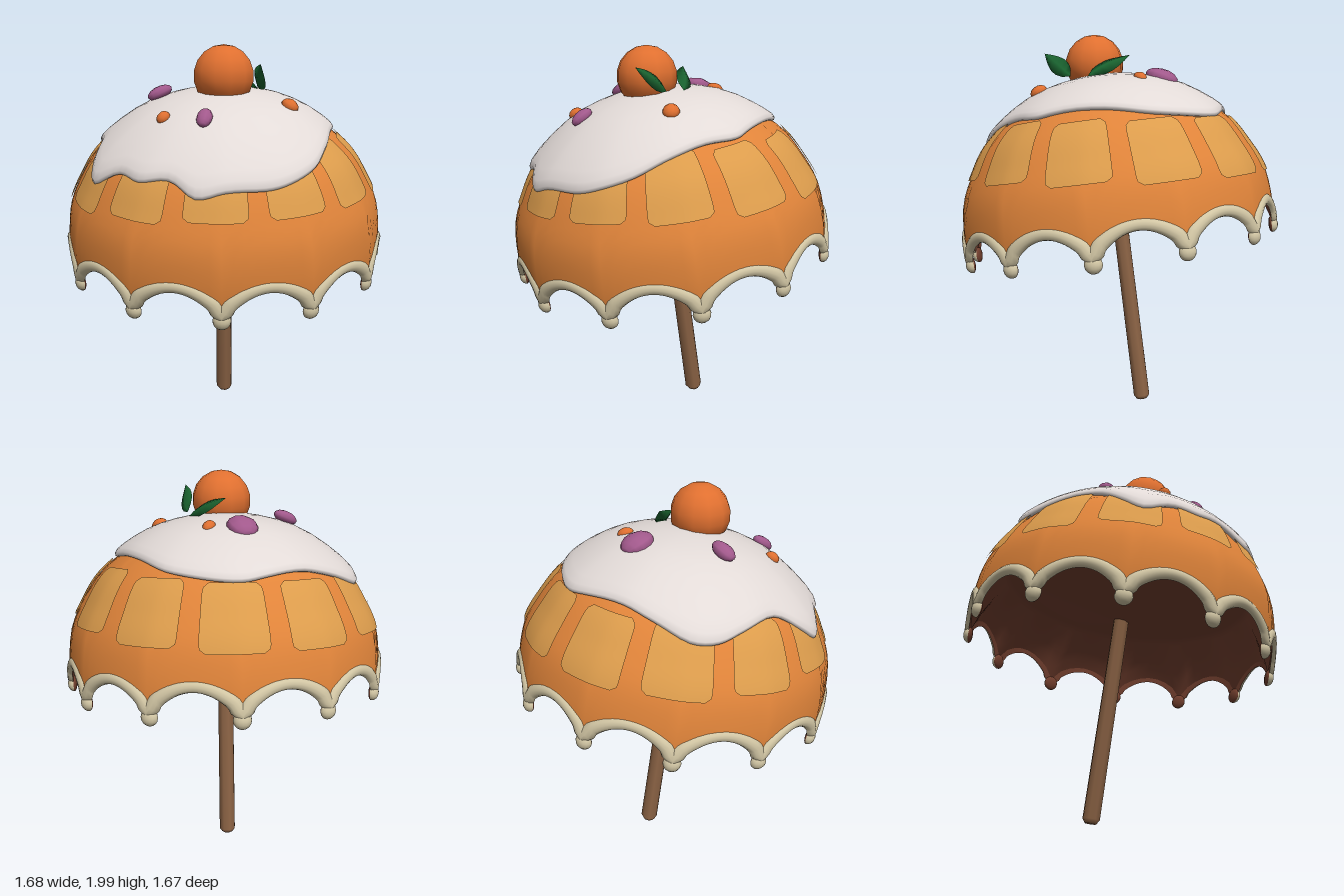
import * as THREE from 'three';

const mat = (name, color, side = THREE.FrontSide) => {
  const m = new THREE.MeshStandardMaterial({ color, side });
  m.name = name;
  return m;
};

// Surface from a rule f(u, v); u can wrap around
function grid(nu, nv, closed, f) {
  const pos = [], idx = [], cols = closed ? nu : nu + 1;
  for (let j = 0; j <= nv; j++)
    for (let i = 0; i < cols; i++) pos.push(...f(i / nu, j / nv, j).toArray());
  for (let j = 0; j < nv; j++)
    for (let i = 0; i < nu; i++) {
      const k = (i + 1) % cols, a = j * cols + i, b = j * cols + k;
      idx.push(a, b, b + cols, a, b + cols, a + cols);
    }
  const g = new THREE.BufferGeometry();
  g.setAttribute('position', new THREE.Float32BufferAttribute(pos, 3));
  g.setIndex(idx);
  g.computeVertexNormals();
  return g;
}

export function createModel() {
  const root = new THREE.Group();
  root.name = 'cakeParasol';
  const cake = mat('cakeOrange', 0xe0843a), patchMat = mat('paleSponge', 0xdc9c4c);
  const cream = mat('creamTrim', 0xd3c7a5), icingMat = mat('icing', 0xe2dad7);
  const brown = mat('liningBrown', 0x74402f, THREE.DoubleSide), wood = mat('wood', 0x8a6244);
  const fruit = mat('fruitOrange', 0xe07030), green = mat('leafGreen', 0x1a6430, THREE.DoubleSide);
  const pink = mat('berryPink', 0xa2598c);

  const add = (parent, name, geo, material) => {
    const m = new THREE.Mesh(geo, material);
    m.name = name;
    parent.add(m);
    return m;
  };

  // Tilted canopy frame, its y axis along the handle
  const tilt = new THREE.Group();
  tilt.name = 'parasol';
  tilt.position.set(0.006, 0.87, -0.025);
  tilt.quaternion.setFromUnitVectors(new THREE.Vector3(0, 1, 0), new THREE.Vector3(-0.045, 1, 0.155).normalize());
  root.add(tilt);
  const inverse = tilt.quaternion.clone().invert();
  const toLocal = (x, y, z) => new THREE.Vector3(x, y, z).sub(tilt.position).applyQuaternion(inverse);

  // Dome profile (radius, height)
  const profile = new THREE.SplineCurve([
    [0.83, 0], [0.836, 0.1], [0.836, 0.2], [0.815, 0.34], [0.756, 0.47], [0.65, 0.63],
    [0.45, 0.785], [0.27, 0.862], [0.1, 0.895], [0, 0.9],
  ].map(p => new THREE.Vector2(...p)));
  const find = (test, lo = 0) => {
    let hi = 1;
    for (let i = 0; i < 24; i++) {
      const m = (lo + hi) / 2;
      if (test(profile.getPoint(m))) lo = m; else hi = m;
    }
    return lo;
  };
  const atHeight = y => find(p => p.y < y);
  const atRadius = r => find(p => p.x > r, 0.25);

  // Twelve scallops with tips at 15, 45, 75... degrees
  const TAU = Math.PI * 2, RIBS = 12;
  const arch = az => Math.abs(Math.sin((az / TAU * RIBS - 0.5) * Math.PI));
  const rimY = az => 0.055 + 0.125 * Math.pow(arch(az), 0.65);
  const domePoint = (az, u, lift = 0) => {
    const p = profile.getPoint(u), t = profile.getTangent(u);
    const r = (p.x + t.y * lift) * (1 - 0.014 * arch(az) * (1 - u));
    return new THREE.Vector3(r * Math.sin(az), p.y - t.x * lift, r * Math.cos(az));
  };
  const rimPoint = az => domePoint(az, atHeight(rimY(az)));

  add(tilt, 'spongeCanopy', grid(96, 18, true, (u, v) => {
    const az = u * TAU, start = atHeight(rimY(az));
    return domePoint(az, start + (1 - start) * v);
  }), cake);

  // Lining: a wall inside the rim, then a ceiling drawn down to the handle
  add(tilt, 'lining', grid(96, 12, true, (u, v) => {
    const p = rimPoint(u * TAU), inner = Math.min(1, 2 * v), s = Math.min(1, 2 - 2 * v);
    const r = 0.985 * inner * (1 - 0.2 * s);
    const y = v < 0.5 ? 0.22 + 0.18 * inner : p.y + (0.4 - p.y) * s ** 0.8;
    return new THREE.Vector3(p.x * r, y, p.z * r);
  }), brown);

  // Scalloped trim: rounded cream face outside, brown backing inside
  const rim = [];
  for (let i = 0; i < 144; i++) rim.push(rimPoint((i + 6) / 144 * TAU));
  const rimCurve = new THREE.CatmullRomCurve3(rim, true);
  const trimPoint = (u, across, depth) => {
    const p = rimCurve.getPoint(u), out = new THREE.Vector3(p.x, 0, p.z).normalize();
    const down = rimCurve.getTangent(u).cross(out).normalize();
    const w = 0.04 - 0.012 * arch(Math.atan2(p.x, p.z));
    return p.addScaledVector(out, depth * w - 0.012).addScaledVector(down, across * w);
  };
  add(tilt, 'scallopTrim', grid(288, 6, true, (u, v) => {
    const a = (v - 0.5) * Math.PI;
    return trimPoint(u, -Math.sin(a), Math.cos(a) * 0.8);
  }), cream);
  add(tilt, 'trimBacking', grid(288, 1, true, (u, v) => trimPoint(u, 2 * v - 1, 0)), brown);
  for (let i = 0; i < RIBS; i++) {
    const az = (i + 0.5) / RIBS * TAU;
    const knob = new THREE.Group();
    knob.name = 'trimKnob';
    knob.position.copy(domePoint(az, atHeight(0.026), -0.012));
    knob.rotation.y = az;
    tilt.add(knob);
    add(knob, 'knobFace', new THREE.SphereGeometry(0.043, 8, 8, 0, Math.PI), cream).scale.z = 0.8;
    add(knob, 'knobBack', new THREE.SphereGeometry(0.043, 8, 8, Math.PI, Math.PI), brown).scale.z = 0.35;
  }

  // Pale rounded panels on the sponge
  for (let i = 0; i < RIBS; i++) {
    const mid = THREE.MathUtils.degToRad(13 + i * 30), c = Math.cos(mid);
    add(tilt, 'palePanel', grid(10, 16, false, (u, v) => {
      const e = Math.abs(2 * v - 1);
      const half = 0.2 * (0.8 + 0.2 * Math.pow(Math.max(0, 1 - e ** 10), 0.5));
      const low = 0.395 + 0.075 * c, high = 0.675 + 0.06 * c;
      return domePoint(mid + (2 * u - 1) * half, atHeight(low + (high - low) * v), 0.008);
    }), patchMat);
  }

  // Icing with an uneven, dripping edge
  const edge = new THREE.CatmullRomCurve3([
    [0, 1.35, 0.75], [0.12, 1.39, 0.73], [0.27, 1.46, 0.65], [0.38, 1.5, 0.5], [0.46, 1.54, 0.35],
    [0.53, 1.57, 0.2], [0.53, 1.59, 0.1], [0.49, 1.63, -0.15], [0.42, 1.63, -0.35], [0.28, 1.6, -0.5],
    [0.13, 1.59, -0.57], [0, 1.59, -0.57], [-0.2, 1.58, -0.53], [-0.35, 1.55, -0.5], [-0.52, 1.48, -0.43],
    [-0.6, 1.45, -0.33], [-0.63, 1.45, -0.2], [-0.64, 1.45, 0], [-0.7, 1.39, 0.15], [-0.71, 1.36, 0.27],
    [-0.6, 1.38, 0.4], [-0.53, 1.36, 0.51], [-0.41, 1.38, 0.6], [-0.31, 1.32, 0.7], [-0.18, 1.34, 0.73],
  ].map(p => toLocal(...p)), true);
  const rings = [[0.98, -0.01], [0.995, 0.008], [0.985, 0.022], [0.955, 0.03], [0.9, 0.032], [0.8, 0.032],
    [0.68, 0.032], [0.55, 0.032], [0.42, 0.03], [0.28, 0.03], [0.14, 0.03], [0, 0.03]];
  add(tilt, 'icing', grid(100, rings.length - 1, true, (u, v, j) => {
    const e = edge.getPoint(u), [t, lift] = rings[j];
    return domePoint(Math.atan2(e.x, e.z), atRadius(Math.hypot(e.x, e.z) * t), lift);
  }), icingMat);

  // Handle with a bevelled foot
  add(tilt, 'handle', new THREE.LatheGeometry(
    [[0, -0.872], [0.03, -0.872], [0.046, -0.85], [0.043, 0.24]].map(p => new THREE.Vector2(...p)), 8), wood)
    .position.z = -0.012;

  // Fruit on top with two plump, ridged leaves
  add(root, 'topFruit', new THREE.SphereGeometry(0.156, 12, 9), fruit).position.set(-0.04, 1.844, 0.15);
  const leaf = (base, tip) => {
    const a = new THREE.Vector3(...base), b = new THREE.Vector3(...tip);
    const dir = b.clone().sub(a).normalize();
    const out = new THREE.Vector3(0.8, 0.6, 0.1).projectOnPlane(dir).normalize();
    const side = out.clone().cross(dir);
    const g = grid(4, 6, true, (u, v) => {
      const w = 0.048 * Math.sin(Math.PI * Math.pow(v, 0.8)), s = u * TAU;
      return a.clone().lerp(b, v).addScaledVector(out, Math.cos(s) * w * 0.4).addScaledVector(side, -Math.sin(s) * w);
    });
    add(root, 'leaf', g, green);
  };
  leaf([0.155, 1.78, 0.1], [0.02, 1.89, -0.08]);
  leaf([0.13, 1.78, 0.21], [0.08, 1.9, 0.39]);

  // Plump berries and small fruit pieces lying on the icing
  for (const [name, m, x, y, z, w, h, d] of [
    ['berry', pink, 0, 1.775, -0.25, 0.078, 0.087, 0.045],
    ['berry', pink, -0.34, 1.76, -0.01, 0.045, 0.068, 0.034],
    ['berry', pink, -0.21, 1.655, 0.455, 0.039, 0.06, 0.032],
    ['fruitPiece', fruit, 0.15, 1.775, -0.19, 0.032, 0.042, 0.028],
    ['fruitPiece', fruit, -0.38, 1.65, 0.32, 0.032, 0.038, 0.03],
    ['fruitPiece', fruit, 0.25, 1.7, 0.335, 0.042, 0.046, 0.034],
  ]) {
    const piece = add(root, name, new THREE.SphereGeometry(1, 10, 7), m);
    piece.position.set(x, y, z);
    piece.scale.set(w, h, d);
    piece.lookAt(x * 2, y + 0.75, z * 2 + 0.02);
  }
  return root;
}
